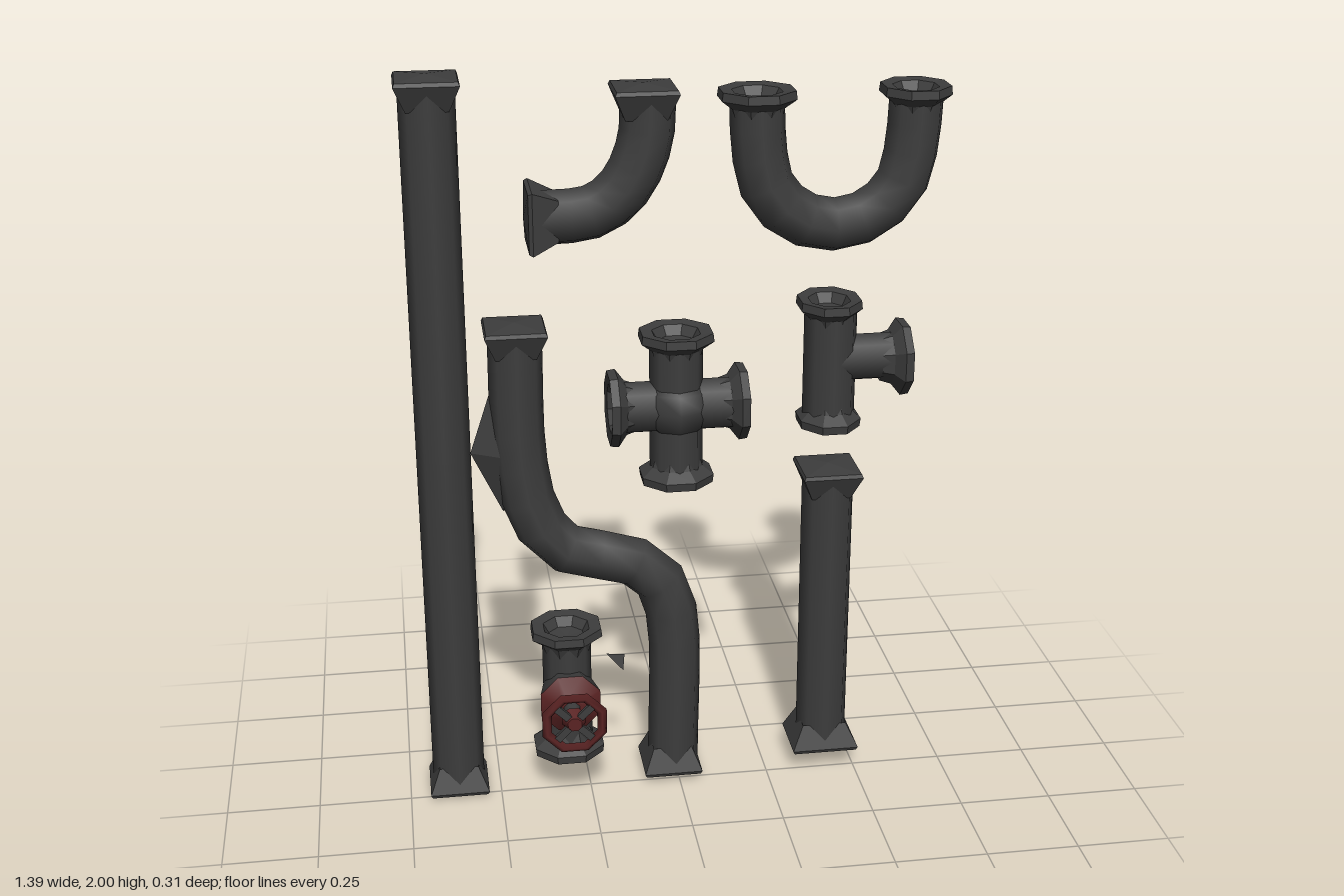
import * as THREE from 'three';
import { ConvexGeometry } from 'three/addons/geometries/ConvexGeometry.js';

const Z = -0.053; // depth of the plane holding every pipe axis
const R = 0.071; // pipe radius

export function createModel() {
  const root = new THREE.Group();
  root.name = 'pipeSet';
  const iron = new THREE.MeshStandardMaterial({ color: 0x3d3d3d, side: THREE.DoubleSide });
  iron.name = 'dark iron';
  const red = new THREE.MeshStandardMaterial({ color: 0x5a2323, side: THREE.DoubleSide });
  red.name = 'dark red paint';

  const group = (name) => {
    const g = new THREE.Group();
    g.name = name;
    root.add(g);
    return g;
  };
  const add = (parent, name, geo, mat, x = 0, y = 0, z = Z) => {
    const m = new THREE.Mesh(geo, mat);
    m.name = name;
    m.position.set(x, y, z);
    parent.add(m);
    return m;
  };

  // Low-poly tube through x, y points
  const pipe = (parent, pts, r = R, seg = pts.length * 2) => {
    const curve = new THREE.CatmullRomCurve3(pts.map(([x, y]) => new THREE.Vector3(x, y, 0)), false, 'centripetal');
    return add(parent, 'pipeBody', new THREE.TubeGeometry(curve, seg, r, 8), iron);
  };

  // Wide octagonal flange with a recessed mouth, tip facing +y before turning
  const roundProfile = [[0.062, -0.075], [0.072, -0.045], [0.103, -0.022], [0.1, 0], [0.066, -0.004], [0.05, -0.03], [0, -0.035]];
  // Square flare closing the plain pipes
  const squareProfile = [[0.075, -0.085], [0.114, -0.018], [0.108, -0.008], [0, 0]];
  const flange = (parent, x, y, turn, square = false, scale = 1) => {
    const profile = (square ? squareProfile : roundProfile).map(([a, b]) => new THREE.Vector2(a, b));
    const geo = new THREE.LatheGeometry(profile, square ? 4 : 8, square ? Math.PI / 4 : Math.PI / 8).toNonIndexed();
    geo.computeVertexNormals();
    const m = add(parent, 'flange', geo, iron, x, y);
    m.rotation.z = turn;
    m.scale.set(scale, 1, 1);
  };
  const UP = 0, DOWN = Math.PI, LEFT = -Math.PI / 2, RIGHT = Math.PI / 2;

  // Straight pipes
  for (const [name, x, y0, y1] of [['longPipe', -0.615, 0, 2], ['shortPipe', 0.415, 0.05, 0.915]]) {
    const g = group(name);
    pipe(g, [[x, y0 + 0.01], [x, y1 - 0.01]], R, 2);
    flange(g, x, y1, UP, true);
    flange(g, x, y0, DOWN, true, name === 'shortPipe' ? 1.15 : 1);
  }

  // Quarter elbow
  const elbow = group('elbowPipe');
  pipe(elbow, [[-0.07, 1.95], [-0.078, 1.815], [-0.13, 1.7], [-0.21, 1.64], [-0.375, 1.627]]);
  flange(elbow, -0.08, 1.962, UP, true);
  flange(elbow, -0.388, 1.63, RIGHT, true);

  // U bend
  const bend = group('uBendPipe');
  const arc = [];
  for (let i = 0; i <= 6; i++) {
    const a = Math.PI + (i / 6) * Math.PI;
    arc.push([0.41 + 0.197 * Math.cos(a), 1.775 + 0.195 * Math.sin(a)]);
  }
  pipe(bend, [[0.205, 1.91], ...arc, [0.615, 1.91]], R, 12);
  flange(bend, 0.205, 1.937, UP);
  flange(bend, 0.612, 1.937, UP, false, 0.9);

  // Double-bent offset pipe
  const offset = group('offsetPipe');
  pipe(offset, [[-0.42, 1.34], [-0.415, 0.97], [-0.38, 0.81], [-0.31, 0.715], [-0.12, 0.66],
    [-0.045, 0.595], [-0.012, 0.49], [-0.01, 0.03]]);
  flange(offset, -0.42, 1.355, UP, true);
  flange(offset, -0.018, 0.012, DOWN, true);
  // Pointed ridge on the side of the offset pipe
  const ridge = [[-0.545, 1, 0], [-0.485, 1.18, 0], [-0.465, 0.83, 0], [-0.43, 1.0, 0.066],
    [-0.43, 1.0, -0.066], [-0.4, 1.15, 0], [-0.4, 0.85, 0]];
  add(offset, 'sideRidge', new ConvexGeometry(ridge.map((p) => new THREE.Vector3(...p))), iron);

  // Four-way cross
  const cross = group('crossJoint');
  pipe(cross, [[0, 0.92], [0, 1.29]], R, 2);
  pipe(cross, [[-0.165, 1.105], [0.165, 1.105]], R, 2);
  add(cross, 'jointCore', new THREE.SphereGeometry(0.094, 8, 6), iron, 0, 1.105);
  flange(cross, 0, 1.312, UP);
  flange(cross, 0, 0.895, DOWN);
  flange(cross, 0.184, 1.108, LEFT);
  flange(cross, -0.18, 1.105, RIGHT);

  // Tee
  const tee = group('teeJoint');
  pipe(tee, [[0.41, 1.05], [0.41, 1.36]], R, 2);
  pipe(tee, [[0.41, 1.215], [0.6, 1.215]], 0.064, 2);
  flange(tee, 0.405, 1.382, UP, false, 0.85);
  flange(tee, 0.41, 1.032, DOWN, false, 0.85);
  flange(tee, 0.617, 1.21, LEFT);

  // Valve
  const valve = group('valve');
  const vx = -0.305, vy = 0.285;
  pipe(valve, [[vx, 0.12], [vx, 0.46]], 0.067, 2);
  flange(valve, vx, 0.478, UP);
  flange(valve, vx, 0.095, DOWN);
  const turned = (name, rFront, rBack, z0, z1, mat) => {
    const geo = new THREE.CylinderGeometry(rFront, rBack, z1 - z0, 8);
    geo.rotateY(Math.PI / 8).rotateX(Math.PI / 2);
    add(valve, name, geo, mat, vx, vy, (z0 + z1) / 2);
  };
  turned('valveHousing', 0.088, 0.07, -0.05, 0.04, iron);
  turned('bonnet', 0.032, 0.088, 0.04, 0.075, red);
  turned('stem', 0.018, 0.024, 0.07, 0.135, iron);
  turned('wheelHub', 0.02, 0.035, 0.125, 0.158, red);

  // Handwheel
  const rim = add(valve, 'wheelRim', new THREE.TorusGeometry(0.08, 0.014, 4, 8), red, vx, vy, 0.147);
  rim.rotation.z = Math.PI / 8;
  rim.scale.z = 0.8;
  for (let i = 0; i < 2; i++) {
    const spoke = add(valve, 'wheelSpoke', new THREE.BoxGeometry(0.155, 0.02, 0.012), iron, vx, vy, 0.146);
    spoke.rotation.z = Math.PI / 4 + (i * Math.PI) / 2;
  }

  // Loose chip beside the valve
  const chip = [[-0.195, 0.38, 0], [-0.145, 0.375, 0], [-0.15, 0.33, 0.01], [-0.17, 0.35, -0.025]];
  add(valve, 'looseChip', new ConvexGeometry(chip.map((p) => new THREE.Vector3(...p))), iron);

  return root;
}
